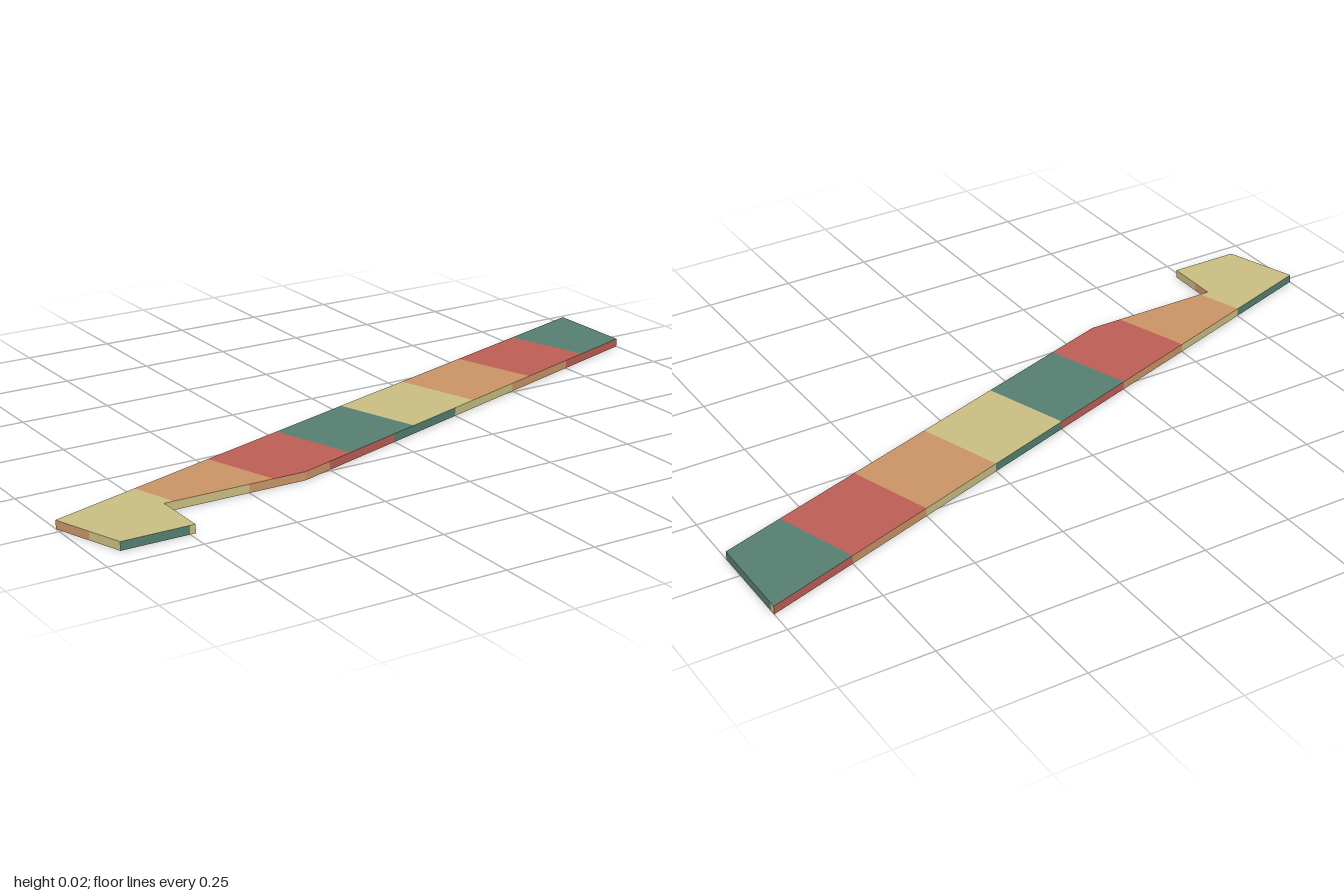
import * as THREE from 'three';

const H = 0.023; // plate thickness
// Plan outline as [x, z], clockwise seen from above
const OUTLINE = [[-1, 0.231], [1, -0.431], [1, -0.172], [-0.338, 0.274],
  [-0.735, 0.274], [-0.735, 0.431], [-0.932, 0.431]];

const material = (name, color) => Object.assign(new THREE.MeshStandardMaterial({ color }), { name });
const lerp = (a, b, t) => [a[0] + (b[0] - a[0]) * t, a[1] + (b[1] - a[1]) * t];

// Band number of a plan point, measured along the long back edge (0 to 8)
function bandAt([x, z]) {
  const [a, b] = OUTLINE;
  const dx = b[0] - a[0], dz = b[1] - a[1];
  return 8 * ((x - a[0]) * dx + (z - a[1]) * dz) / (dx * dx + dz * dz);
}

// Keeps the part of a polygon where f >= 0
function clip(poly, f) {
  const out = [];
  poly.forEach((p, i) => {
    const q = poly[(i + 1) % poly.length], fp = f(p), fq = f(q);
    if (fp >= 0) out.push(p);
    if (fp * fq < 0) out.push(lerp(p, q, fp / (fp - fq)));
  });
  return out;
}

// Upright rim panel between two plan points
function rimPanel(a, b) {
  const g = new THREE.BufferGeometry();
  g.setAttribute('position', new THREE.Float32BufferAttribute([
    b[0], 0, b[1], a[0], 0, a[1], a[0], H, a[1], b[0], H, b[1]], 3));
  g.setIndex([0, 1, 2, 0, 2, 3]);
  g.computeVertexNormals();
  return g;
}

export function createModel() {
  const model = new THREE.Group();
  model.name = 'stripedPlate';
  const palette = [material('khaki', 0xc9be82), material('orange', 0xca9466),
    material('red', 0xbd5e55), material('green', 0x557f71)];
  const add = (name, geometry, band) => {
    const mesh = new THREE.Mesh(geometry, palette[((band % 4) + 4) % 4]);
    mesh.name = name;
    model.add(mesh);
    return mesh;
  };

  // Slanted colour bands on the top and underside
  for (let i = 0; i < 8; i++) {
    let poly = OUTLINE;
    if (i > 0) poly = clip(poly, p => bandAt(p) - i);
    if (i < 7) poly = clip(poly, p => i + 1 - bandAt(p));
    const face = flip => new THREE.ShapeGeometry(
      new THREE.Shape(poly.map(([x, z]) => new THREE.Vector2(x, flip * z))));
    add('topBand', face(-1).rotateX(-Math.PI / 2).translate(0, H, 0), i);
    add('undersideBand', face(1).rotateX(Math.PI / 2), i);
  }

  // Rim: long edges banded along x, steep edges banded along z
  OUTLINE.forEach((a, i) => {
    const b = OUTLINE[(i + 1) % OUTLINE.length];
    const steep = Math.abs(b[1] - a[1]) > Math.abs(b[0] - a[0]);
    const u = ([x, z]) => steep ? (0.335 - z) / 0.25 + 1 : (x + 1) / 0.25 - 1;
    const ua = u(a), ub = u(b);
    const cuts = [0, 1];
    for (let k = -1; k <= 8; k++) {
      const t = (k - ua) / (ub - ua);
      if (t > 1e-4 && t < 1 - 1e-4) cuts.push(t);
    }
    cuts.sort((p, q) => p - q);
    for (let k = 0; k + 1 < cuts.length; k++) {
      const mid = ua + (ub - ua) * (cuts[k] + cuts[k + 1]) / 2;
      add('rimBand', rimPanel(lerp(a, b, cuts[k]), lerp(a, b, cuts[k + 1])), Math.floor(mid));
    }
  });
  return model;
}
